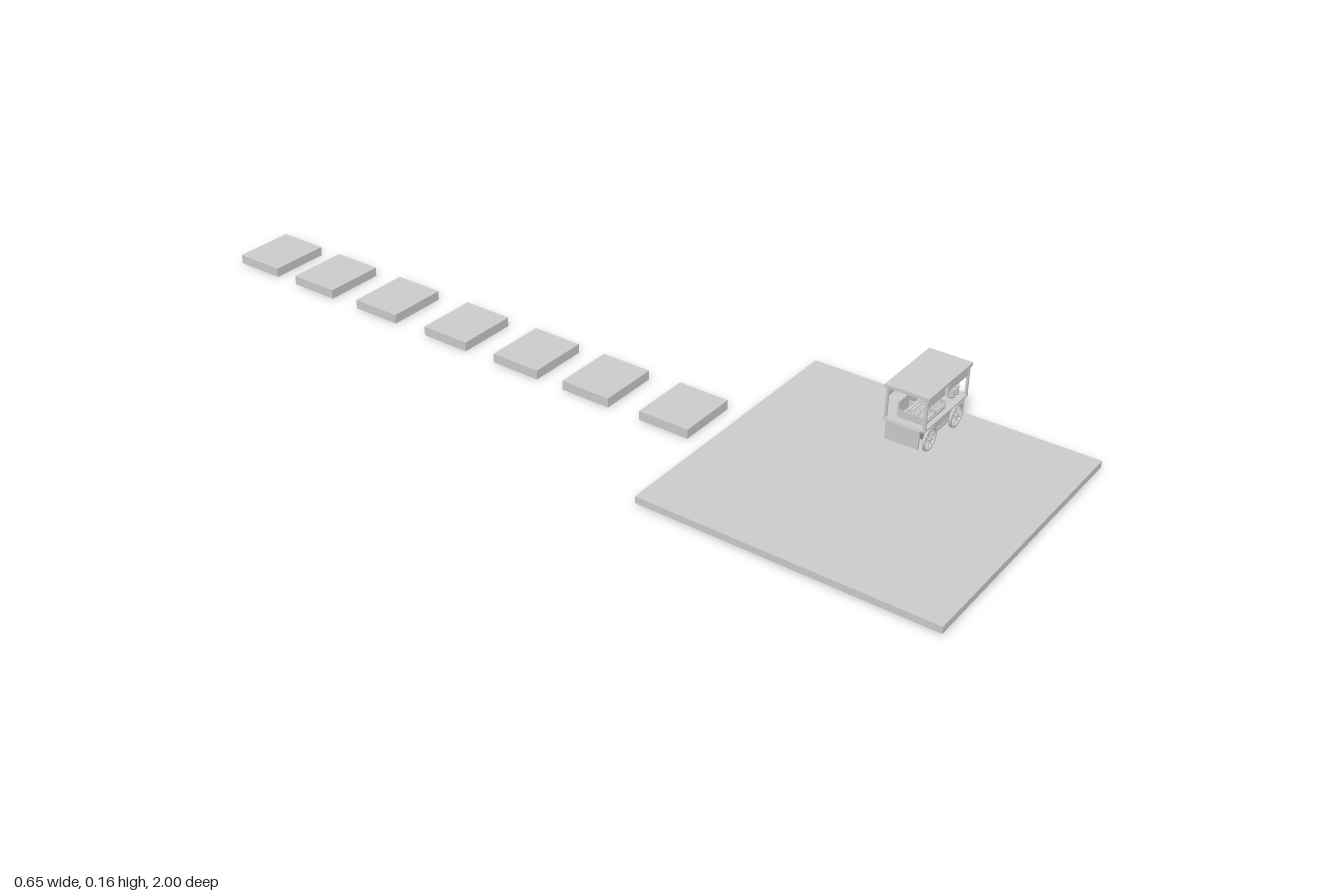
import * as THREE from 'three';

const mat = new THREE.MeshStandardMaterial({ color: 0xcccccc });

function add(parent, name, geo, x = 0, y = 0, z = 0) {
  const m = new THREE.Mesh(geo, mat);
  m.name = name;
  m.position.set(x, y, z);
  parent.add(m);
  return m;
}

// box given by its extents
function box(parent, name, x0, x1, y0, y1, z0, z1) {
  return add(parent, name, new THREE.BoxGeometry(x1 - x0, y1 - y0, z1 - z0),
    (x0 + x1) / 2, (y0 + y1) / 2, (z0 + z1) / 2);
}

// round bar between two points
function bar(parent, name, a, b, r) {
  const p = new THREE.Vector3(...a), q = new THREE.Vector3(...b);
  const m = add(parent, name, new THREE.CylinderGeometry(r, r, p.distanceTo(q), 8));
  m.position.copy(p).add(q).multiplyScalar(0.5);
  m.quaternion.setFromUnitVectors(new THREE.Vector3(0, 1, 0), q.sub(p).normalize());
  return m;
}

// spoked wheel lying in the xy plane
function makeWheel() {
  const wheel = new THREE.Group();
  wheel.name = 'wheel';
  const rim = new THREE.Shape().absarc(0, 0, 0.026, 0, Math.PI * 2);
  rim.holes.push(new THREE.Path().absarc(0, 0, 0.0215, 0, Math.PI * 2, true));
  const rimGeo = new THREE.ExtrudeGeometry(rim, { depth: 0.005, bevelEnabled: false, curveSegments: 32 });
  add(wheel, 'rim', rimGeo, 0, 0, -0.0025);
  add(wheel, 'hub', new THREE.CylinderGeometry(0.0045, 0.0045, 0.008, 16)).rotation.x = Math.PI / 2;
  for (let i = 0; i < 12; i++) {
    const a = i * Math.PI / 6, c = Math.cos(a), s = Math.sin(a);
    bar(wheel, 'spoke', [0.003 * c, 0.003 * s, 0], [0.0225 * c, 0.0225 * s, 0], 0.0008);
  }
  return wheel;
}

// open crate filled with round goods
function makeCrate(parent, x0, x1) {
  const crate = new THREE.Group();
  crate.name = 'crate';
  parent.add(crate);
  box(crate, 'crateFloor', x0, x1, 0.083, 0.086, -0.025, 0.036);
  box(crate, 'crateBack', x0, x1, 0.083, 0.118, -0.025, -0.022);
  box(crate, 'crateFront', x0, x1, 0.083, 0.089, 0.034, 0.036);
  for (const x of [x0, x1 - 0.0015]) box(crate, 'crateSide', x, x + 0.0015, 0.083, 0.1, -0.025, 0.036);
  const fruit = new THREE.SphereGeometry(0.0036, 10, 8);
  for (let row = 0; row < 4; row++)
    for (let i = 0; i < 6; i++)
      for (let k = 0; k < 2; k++)
        add(crate, 'fruit', fruit, x0 + 0.0045 + i * (x1 - x0 - 0.009) / 5,
          0.09 + row * 0.0049, 0.031 - row * 0.009 - k * 0.007);
}

// turned container with rims
function makeBarrel(parent, x, y, z, r, h) {
  const p = [[0, 0], [r * 0.95, 0], [r, h * 0.15], [r, h * 0.85], [r * 0.95, h], [0, h]];
  add(parent, 'barrel', new THREE.LatheGeometry(p.map(q => new THREE.Vector2(...q)), 20), x, y, z);
  for (const f of [0.15, 0.85]) {
    add(parent, 'barrelHoop', new THREE.TorusGeometry(r, 0.0005, 6, 20), x, y + h * f, z).rotation.x = Math.PI / 2;
  }
}

function makeCart() {
  const cart = new THREE.Group();
  cart.name = 'cart';

  // body with sloping ends, and counter
  const side = new THREE.Shape([[0.124, 0.08], [0.136, 0.066], [0.157, 0.037], [0.265, 0.037],
    [0.284, 0.066], [0.294, 0.08]].map(p => new THREE.Vector2(...p)));
  add(cart, 'body', new THREE.ExtrudeGeometry(side, { depth: 0.066, bevelEnabled: false }), 0, 0, -0.033);
  box(cart, 'counter', 0.117, 0.299, 0.079, 0.083, -0.046, 0.046);

  // end boards
  for (const x of [0.113, 0.298]) box(cart, 'endBoard', x, x + 0.005, 0.04, 0.081, -0.037, 0.037);

  // posts, braces and roof
  for (const z of [-0.043, 0.043]) {
    for (const [x, dir] of [[0.1225, 1], [0.295, -1]]) {
      box(cart, 'post', x - 0.0025, x + 0.0025, 0.08, 0.152, z - 0.0025, z + 0.0025);
      bar(cart, 'brace', [x + dir * 0.003, 0.08, z * 0.85], [x + dir * 0.019, 0.056, z * 0.85], 0.0013);
    }
    box(cart, 'valance', 0.126, 0.292, 0.128, 0.151, z - 0.001, z + 0.001);
  }
  box(cart, 'roof', 0.118, 0.299, 0.15, 0.157, -0.049, 0.049);

  // wheels, axles and coupling rod
  for (const x of [0.155, 0.266]) {
    for (const z of [-0.04, 0.04]) {
      const wheel = makeWheel();
      wheel.position.set(x, 0.046, z);
      cart.add(wheel);
    }
    bar(cart, 'axle', [x, 0.046, -0.042], [x, 0.046, 0.042], 0.002);
  }
  bar(cart, 'couplingRod', [0.155, 0.046, 0.034], [0.266, 0.046, 0.034], 0.001);

  // goods on the counter
  makeCrate(cart, 0.135, 0.178);
  makeCrate(cart, 0.179, 0.222);
  for (const x of [0.252, 0.271]) makeBarrel(cart, x, 0.083, -0.012, 0.0095, 0.038);
  for (const x of [0.268, 0.284]) makeBarrel(cart, x, 0.083, 0.024, 0.0075, 0.022);

  // bunch hanging at the front of the roof
  const bead = new THREE.SphereGeometry(0.0025, 10, 8);
  bar(cart, 'hangingCord', [0.197, 0.15, 0.046], [0.197, 0.127, 0.046], 0.0005);
  for (let i = 0; i < 4; i++) {
    for (const dx of [-0.0025, 0.0025]) add(cart, 'hangingBead', bead, 0.197 + dx, 0.146 - i * 0.005, 0.046);
  }
  cart.position.z = 0.672;
  return cart;
}

export function createModel() {
  const model = new THREE.Group();
  model.name = 'marketPlatform';
  box(model, 'platform', -0.327, 0.327, 0.0045, 0.0195, 0.349, 1);
  // path of stepping slabs
  for (const z of [0.234, 0.034, -0.155, -0.355, -0.563, -0.76, -0.94]) {
    box(model, 'steppingSlab', -0.074, 0.071, 0, 0.0215, z - 0.06, z + 0.06);
  }
  model.add(makeCart());
  return model;
}
